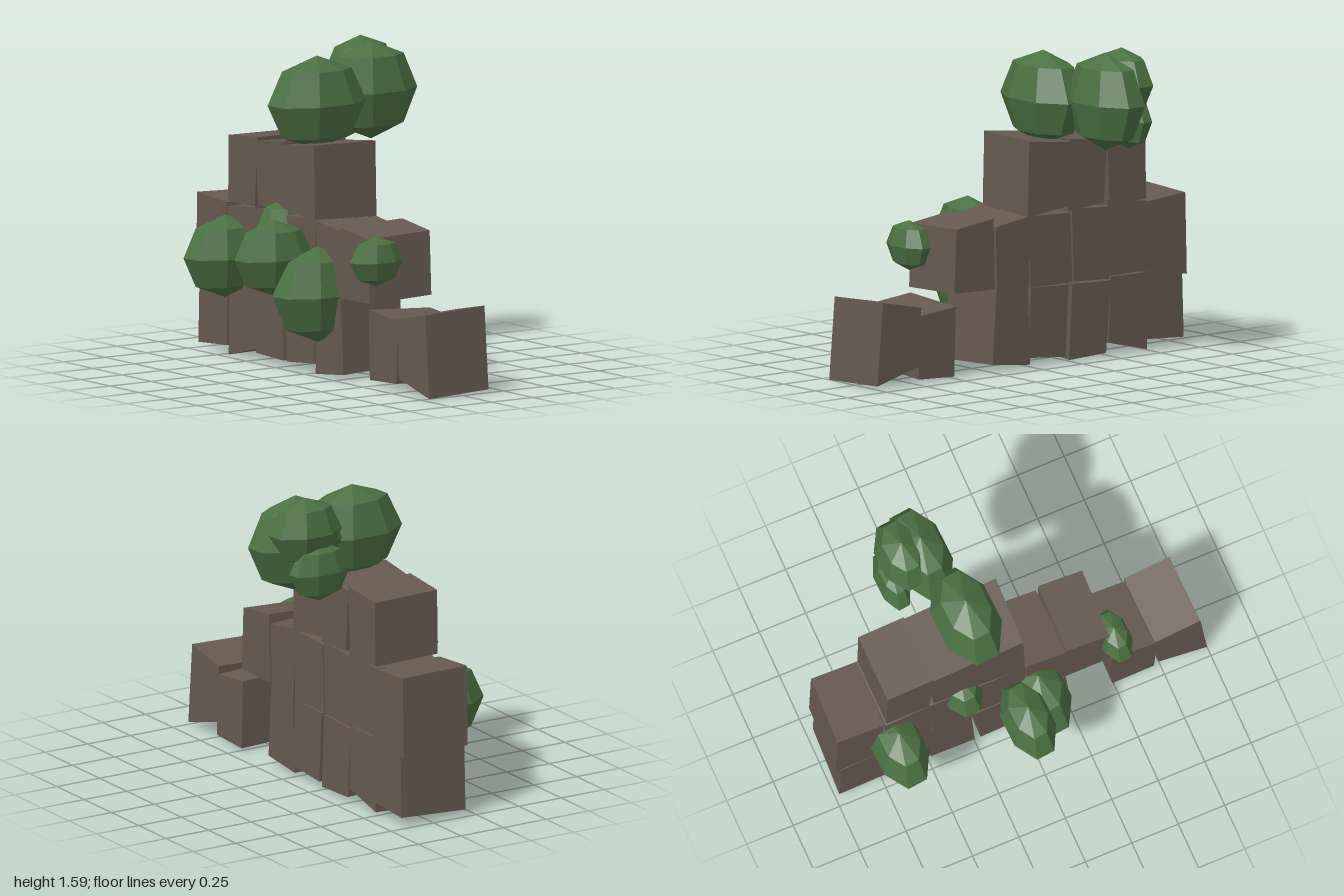
import * as THREE from 'three';

const stone = new THREE.MeshStandardMaterial({ color: 0x665950 });
stone.name = 'brown stone';
const leaf = new THREE.MeshStandardMaterial({ color: 0x4a7041 });
leaf.name = 'green leaf';

// Faceted normals
function faceted(g) {
  const f = g.index ? g.toNonIndexed() : g;
  f.computeVertexNormals();
  return f;
}

// Skewed stone block: front corners as [x, y], back face slightly shifted
function block(bl, br, tr, tl, dx, dy) {
  const g = new THREE.BoxGeometry(1, 1, 1);
  const p = g.attributes.position;
  for (let i = 0; i < p.count; i++) {
    const right = p.getX(i) > 0, top = p.getY(i) > 0, front = p.getZ(i) > 0;
    const c = top ? (right ? tr : tl) : (right ? br : bl);
    if (front) p.setXYZ(i, c[0], c[1], 0.2);
    else p.setXYZ(i, c[0] + dx, Math.max(0, c[1] + dy), -0.165);
  }
  return new THREE.Mesh(faceted(g), stone);
}

// Low-poly bush: eight-sided, four bands, squeezed along x
function bush(x, y, z, rx, ry, rz) {
  const g = new THREE.SphereGeometry(1, 8, 4);
  g.rotateY(-0.33);
  g.scale(rx / 0.945, ry, rz / 0.945);
  const m = new THREE.Mesh(faceted(g), leaf);
  m.position.set(x, y, z);
  return m;
}

export function createModel() {
  const model = new THREE.Group();
  model.name = 'ruinedWall';

  // Courses from the ground up: bottom left, bottom right, top right, top left, back shift
  const courses = {
    bottomCourse: [
      [[-0.98, 0.04], [-0.735, 0.055], [-0.725, 0.4], [-0.97, 0.37], 0.015, 0.015],
      [[-0.72, 0.01], [-0.475, 0.07], [-0.49, 0.4], [-0.715, 0.395], -0.01, 0.01],
      [[-0.485, 0.05], [-0.25, 0.04], [-0.27, 0.42], [-0.515, 0.41], 0.015, -0.02],
      [[-0.22, 0.04], [0.02, 0.06], [0.0, 0.41], [-0.24, 0.4], 0.01, 0.0],
      [[0.025, 0.01], [0.265, 0.035], [0.24, 0.41], [0.04, 0.39], -0.01, 0.015],
      [[0.49, 0.04], [0.715, 0.05], [0.73, 0.365], [0.48, 0.39], 0.01, -0.02],
      [[0.74, 0.08], [1.0, 0.01], [0.965, 0.425], [0.72, 0.375], -0.01, 0.015],
    ],
    middleCourse: [
      [[-1.0, 0.38], [-0.75, 0.4], [-0.74, 0.77], [-0.99, 0.79], 0.015, -0.01],
      [[-0.735, 0.4], [-0.485, 0.4], [-0.48, 0.78], [-0.73, 0.75], 0.0, 0.015],
      [[-0.475, 0.41], [-0.25, 0.42], [-0.235, 0.79], [-0.49, 0.77], -0.015, -0.01],
      [[-0.255, 0.42], [0.01, 0.42], [0.03, 0.78], [-0.24, 0.77], 0.0, -0.01],
      [[0.04, 0.415], [0.24, 0.42], [0.25, 0.75], [0.03, 0.78], -0.015, -0.01],
      [[0.23, 0.415], [0.49, 0.42], [0.475, 0.74], [0.24, 0.77], 0.01, 0.015],
    ],
    topCourse: [
      [[-0.725, 0.78], [-0.495, 0.78], [-0.475, 1.13], [-0.72, 1.11], 0.0, -0.005],
      [[-0.47, 0.795], [-0.24, 0.78], [-0.25, 1.14], [-0.49, 1.11], 0.015, -0.01],
      [[-0.245, 0.8], [0.02, 0.77], [0.01, 1.15], [-0.25, 1.12], 0.01, -0.005],
    ],
  };
  for (const [name, blocks] of Object.entries(courses)) {
    const course = new THREE.Group();
    course.name = name;
    blocks.forEach((b, i) => {
      const m = block(...b);
      m.name = 'stoneBlock' + (i + 1);
      course.add(m);
    });
    model.add(course);
  }

  // Bushes: centre, then half sizes
  const groups = {
    topBushes: [
      [-0.22, 1.32, 0.02, 0.155, 0.235, 0.26],
      [-0.3, 1.34, -0.365, 0.14, 0.245, 0.245],
      [-0.4, 1.425, -0.37, 0.12, 0.175, 0.19],
      [-0.47, 1.23, -0.33, 0.075, 0.15, 0.16],
    ],
    frontBushes: [
      [-0.68, 0.515, 0.25, 0.13, 0.207, 0.22],
      [-0.305, 0.7, 0.15, 0.1, 0.145, 0.15],
      [-0.05, 0.6, 0.4, 0.12, 0.19, 0.21],
      [0.08, 0.42, 0.225, 0.145, 0.24, 0.24],
      [0.51, 0.635, 0.175, 0.08, 0.125, 0.14],
    ],
  };
  for (const [name, list] of Object.entries(groups)) {
    const g = new THREE.Group();
    g.name = name;
    list.forEach((b, i) => {
      const m = bush(...b);
      m.name = 'bush' + (i + 1);
      g.add(m);
    });
    model.add(g);
  }
  return model;
}
